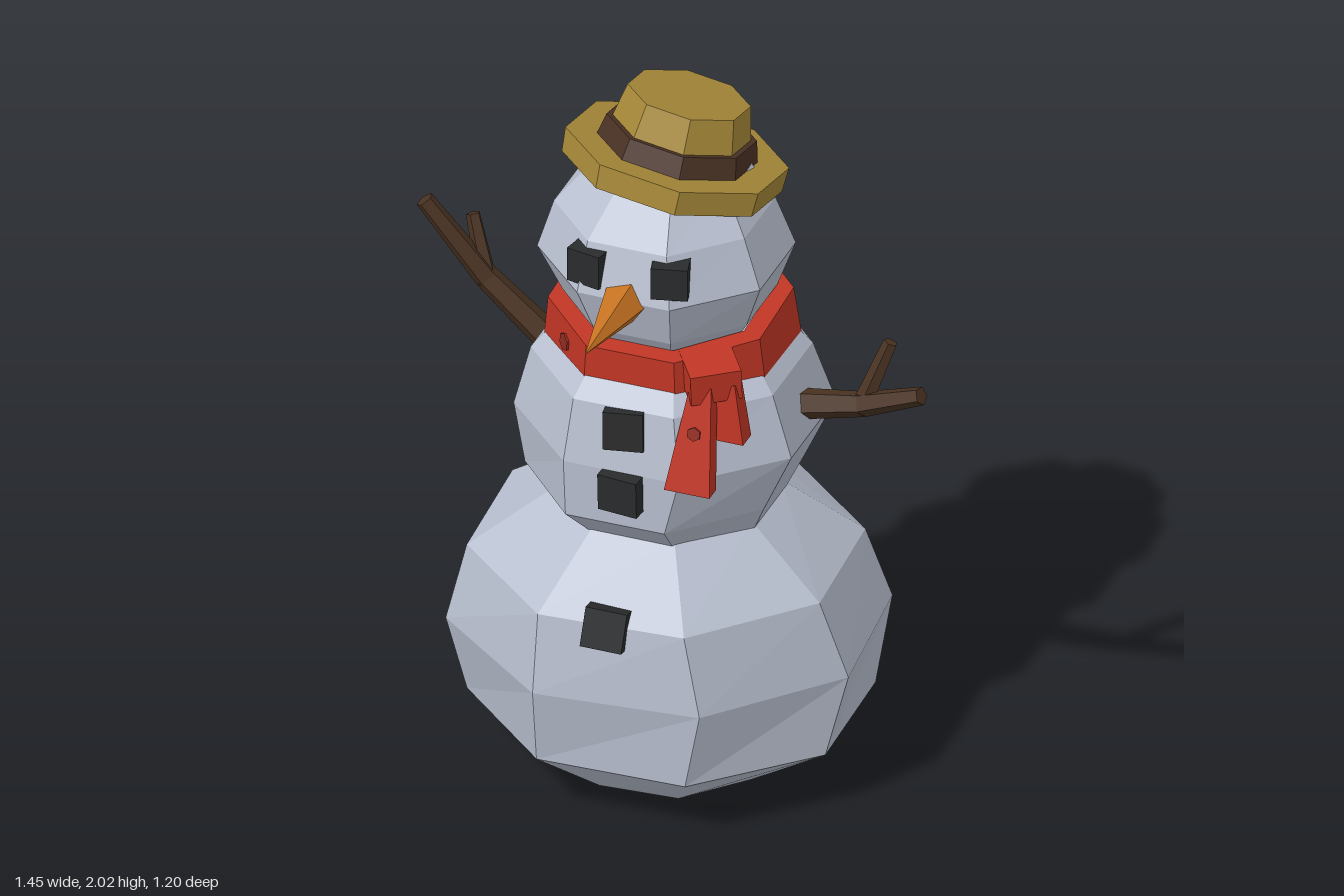
import * as THREE from 'three';

const material = (name, color) => {
  const m = new THREE.MeshStandardMaterial({ color, flatShading: true });
  m.name = name;
  return m;
};

// Ring of points around the y axis, counter-clockwise from above, starting near +z
function ring([y, cx, cz, rx, rz = rx, phase = 22.5], sides = 8) {
  return Array.from({ length: sides }, (_, i) => {
    const a = THREE.MathUtils.degToRad(phase) + (i / sides) * Math.PI * 2;
    return new THREE.Vector3(cx + Math.sin(a) * rx, y, cz + Math.cos(a) * rz);
  });
}

// Rectangular cross-section in the same order
const rect = (x, y, z, w, d) =>
  [[-1, 1], [1, 1], [1, -1], [-1, -1]].map(([sx, sz]) => new THREE.Vector3(x + sx * w / 2, y, z + sz * d / 2));

// Skin between successive cross-sections
function loft(rings, caps = true) {
  const pts = [];
  const n = rings[0].length;
  for (let k = 0; k < rings.length - 1; k++) {
    const lo = rings[k], hi = rings[k + 1];
    for (let i = 0; i < n; i++) {
      const j = (i + 1) % n;
      pts.push(lo[i], lo[j], hi[j], lo[i], hi[j], hi[i]);
    }
  }
  if (caps) {
    const lo = rings[0], hi = rings[rings.length - 1];
    for (let i = 1; i < n - 1; i++) pts.push(hi[0], hi[i], hi[i + 1], lo[0], lo[i + 1], lo[i]);
  }
  const g = new THREE.BufferGeometry().setFromPoints(pts);
  g.computeVertexNormals();
  return g;
}

export function createModel() {
  const model = new THREE.Group();
  model.name = 'snowman';
  const snow = material('snow', 0xb9c0d0);
  const straw = material('straw', 0xa68838);
  const bandBrown = material('hat band brown', 0x4a3224);
  const red = material('scarf red', 0xc03524);
  const darkRed = material('spot red', 0x8f2a20);
  const coal = material('coal', 0x2a2b2c);
  const orange = material('carrot orange', 0xc87422);
  const wood = material('wood', 0x4a3322);

  const add = (name, geometry, mat, parent = model) => {
    const mesh = new THREE.Mesh(geometry, mat);
    mesh.name = name;
    parent.add(mesh);
    return mesh;
  };

  // Snowballs: rows are y, centre x, centre z, radius x, radius z, phase
  add('bottomBall', loft([
    [0, -0.025, -0.025, 0.29, 0.285, 26],
    [0.18, -0.02, -0.03, 0.55, 0.52, 24],
    [0.41, -0.035, -0.052, 0.605, 0.575, 28],
    [0.64, -0.035, -0.03, 0.535, 0.525, 26],
    [0.83, -0.015, 0, 0.3, 0.3, 24],
  ].map(r => ring(r))), snow);
  add('middleBall', loft([
    [0.81, -0.015, -0.005, 0.31, 0.305],
    [0.9, -0.03, -0.01, 0.37, 0.4],
    [1.07, -0.01, -0.03, 0.43, 0.43],
    [1.25, -0.015, -0.02, 0.375, 0.385],
    [1.37, -0.015, -0.02, 0.27, 0.27],
  ].map(r => ring(r))), snow);
  add('head', loft([
    [1.36, -0.02, -0.02, 0.24, 0.25],
    [1.43, -0.02, -0.02, 0.285, 0.3],
    [1.56, -0.03, -0.02, 0.345, 0.345],
    [1.7, -0.035, -0.02, 0.295, 0.3],
    [1.82, -0.025, -0.04, 0.2, 0.21],
  ].map(r => ring(r))), snow);

  // Tilted straw hat
  const hat = new THREE.Group();
  hat.name = 'hat';
  hat.position.set(-0.03, 1.79, -0.08);
  hat.rotation.set(-0.21, 0, -0.14);
  model.add(hat);
  add('brim', loft([ring([-0.035, 0, 0, 0.3]), ring([0.035, 0, 0, 0.305])]), straw, hat);
  add('hatBand', loft([ring([0.03, 0, 0, 0.22]), ring([0.095, 0, 0, 0.205])]), bandBrown, hat);
  add('crown', loft([ring([0.09, 0, 0, 0.19]), ring([0.19, 0, 0, 0.168])]), straw, hat);

  // Coal eyes and buttons: position, size, rotation
  [
    ['rightEye', [-0.14, 1.632, 0.25], [0.1, 0.1, 0.085], [0, -0.2, 0]],
    ['leftEye', [0.088, 1.635, 0.25], [0.1, 0.095, 0.085], [0, 0.25, 0]],
    ['topButton', [-0.01, 1.193, 0.33], [0.11, 0.11, 0.08], [-0.1, 0.15, 0.05]],
    ['middleButton', [-0.005, 1.015, 0.36], [0.115, 0.11, 0.08], [0.05, -0.1, 0]],
    ['lowButton', [-0.018, 0.632, 0.45], [0.115, 0.11, 0.08], [-0.3, 0.12, -0.04]],
  ].forEach(([name, pos, size, rot]) => {
    const lump = add(name, new THREE.BoxGeometry(...size), coal);
    lump.position.set(...pos);
    lump.rotation.set(...rot);
  });

  // Carrot nose with its tip slightly raised
  const nose = new THREE.ConeGeometry(0.072, 0.36, 5);
  nose.rotateX(Math.PI / 2);
  const carrot = add('carrotNose', nose, orange);
  carrot.position.set(-0.028, 1.557, 0.42);
  carrot.rotation.set(-0.05, 0.03, 0.3);

  // Scarf band, a closed ring with thickness
  const scarf = new THREE.Group();
  scarf.name = 'scarf';
  scarf.position.set(-0.015, 1.342, -0.02);
  scarf.rotation.x = 0.08;
  model.add(scarf);
  add('scarfBand', loft([
    [-0.075, 0, 0, 0.345], [0.075, 0, 0, 0.328], [0.075, 0, 0, 0.27], [-0.075, 0, 0, 0.29], [-0.075, 0, 0, 0.345],
  ].map(r => ring(r)), false), red, scarf);
  [45, 135, 225, 315].forEach((deg, i) => {
    const disc = new THREE.CylinderGeometry(0.026, 0.026, 0.008, 6);
    disc.rotateX(Math.PI / 2 - 0.1);
    disc.translate(0, 0.01, 0.312);
    disc.rotateY(THREE.MathUtils.degToRad(deg));
    add('scarfSpot' + (i + 1), disc, darkRed, scarf);
  });

  // Knot and hanging tails
  const knot = add('scarfKnot', new THREE.BoxGeometry(0.14, 0.09, 0.13), red);
  knot.position.set(0.2, 1.352, 0.245);
  knot.rotation.set(0.08, 0.6, 0);
  add('longTail', loft([rect(0.185, 1.055, 0.36, 0.13, 0.05), rect(0.195, 1.35, 0.285, 0.06, 0.045)]), red);
  add('shortTail', loft([rect(0.272, 1.18, 0.26, 0.075, 0.06), rect(0.25, 1.35, 0.25, 0.06, 0.05)]), red);
  const tailSpot = new THREE.CylinderGeometry(0.02, 0.02, 0.008, 6);
  tailSpot.rotateX(Math.PI / 2);
  const spot = add('tailSpot', tailSpot, darkRed);
  spot.position.set(0.19, 1.22, 0.344);
  spot.rotation.x = -0.25;

  // Stick arms: each a base, a forearm and a twig
  const stick = (name, from, to, r0, r1, parent) => {
    const a = new THREE.Vector3(...from), b = new THREE.Vector3(...to);
    const dir = b.clone().sub(a);
    const mesh = add(name, new THREE.CylinderGeometry(r1, r0, dir.length(), 5), wood, parent);
    mesh.position.copy(a).add(b).multiplyScalar(0.5);
    mesh.quaternion.setFromUnitVectors(new THREE.Vector3(0, 1, 0), dir.normalize());
  };
  const arm = (name, shoulder, elbow, hand, twigTip) => {
    const g = new THREE.Group();
    g.name = name;
    model.add(g);
    stick('upperStick', shoulder, elbow, 0.045, 0.036, g);
    stick('foreStick', elbow, hand, 0.036, 0.026, g);
    stick('twig', elbow, twigTip, 0.028, 0.02, g);
  };
  arm('rightArm', [-0.35, 1.165, -0.035], [-0.54, 1.35, -0.01], [-0.705, 1.575, 0.025], [-0.595, 1.515, -0.05]);
  arm('leftArm', [0.33, 1.13, -0.04], [0.535, 1.19, -0.01], [0.715, 1.272, 0.02], [0.6, 1.375, -0.05]);

  return model;
}
